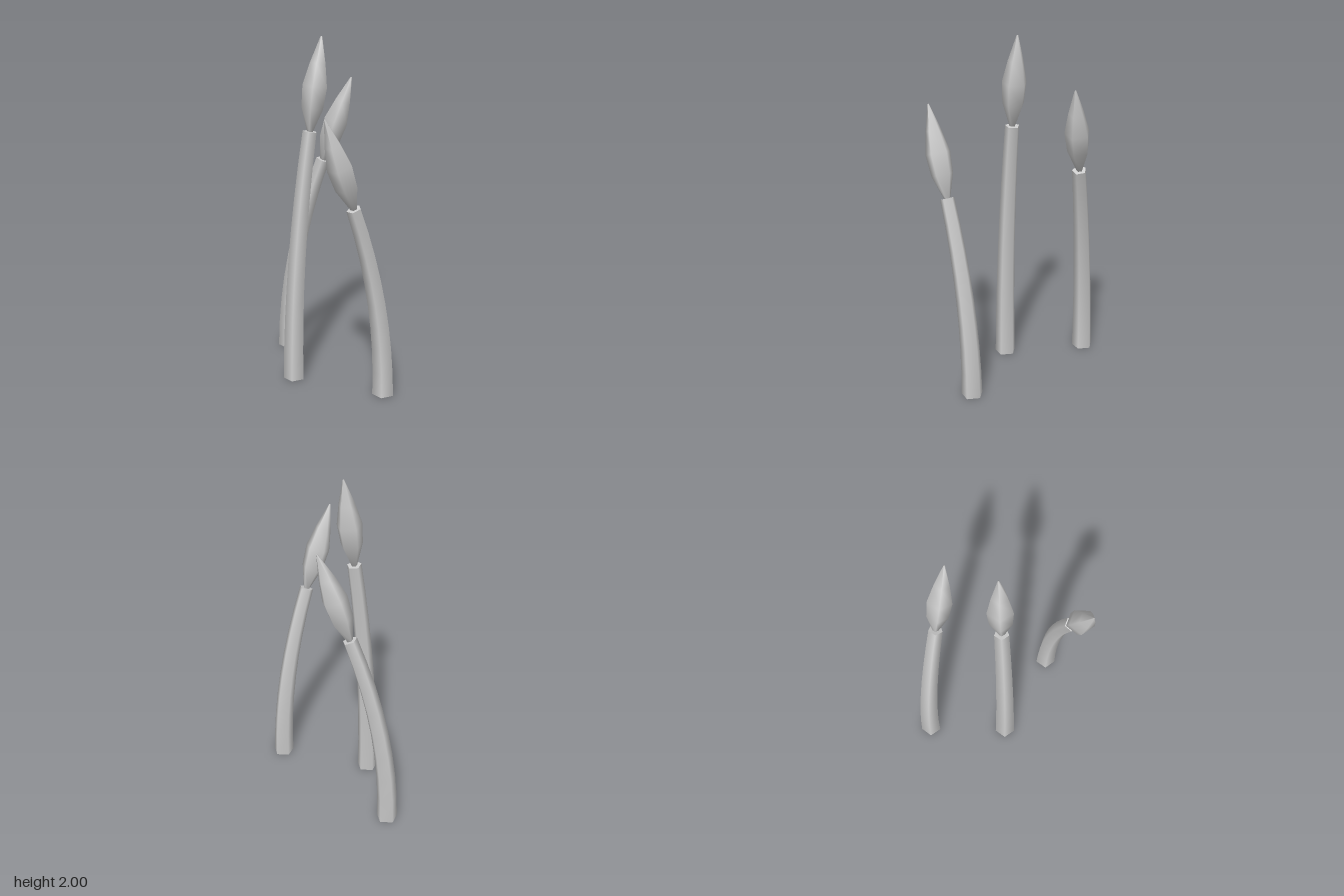
import * as THREE from 'three';

const UP = new THREE.Vector3(0, 1, 0);

// Each stalk: centre of the foot, centre of the top, tip of the bud
const STALKS = [
  { foot: [-0.06, 0, 0.185], top: [-0.024, 1.475, 0.085], tip: [0, 2, 0.02] },
  { foot: [-0.45, 0, -0.105], top: [-0.253, 1.228, -0.222], tip: [-0.105, 1.73, -0.31] },
  { foot: [0.445, 0, -0.05], top: [0.41, 1.132, 0.162], tip: [0.375, 1.63, 0.34] },
];

// Bud profile: radius, fraction of the length
const BUD = [[0, 0], [0.018, 0], [0.064, 0.25], [0.073, 0.48], [0.046, 0.72], [0.005, 0.995], [0, 1]];

// Five-sided tapered stem that starts upright and leans more towards the top
function stemGeometry(foot, top) {
  const g = new THREE.CylinderGeometry(0.042, 0.063, 1, 5, 8, false, Math.PI);
  const pos = g.attributes.position, nor = g.attributes.normal;
  const lean = top.clone().sub(foot);
  const q = new THREE.Quaternion(), v = new THREE.Vector3(), n = new THREE.Vector3();
  for (let i = 0; i < pos.count; i++) {
    const t = pos.getY(i) + 0.5;
    const tangent = new THREE.Vector3(2 * t * lean.x, lean.y, 2 * t * lean.z).normalize();
    q.setFromUnitVectors(UP, tangent);
    v.set(pos.getX(i), 0, pos.getZ(i)).applyQuaternion(q);
    v.add(new THREE.Vector3(foot.x + lean.x * t * t, foot.y + lean.y * t, foot.z + lean.z * t * t));
    pos.setXYZ(i, v.x, v.y, v.z);
    n.fromBufferAttribute(nor, i).applyQuaternion(q);
    nor.setXYZ(i, n.x, n.y, n.z);
  }
  return g;
}

export function createModel() {
  const model = new THREE.Group();
  model.name = 'budStalks';
  const grey = new THREE.MeshStandardMaterial({ color: 0xcccccc });
  grey.name = 'light grey';

  STALKS.forEach((s) => {
    const [foot, top, tip] = [s.foot, s.top, s.tip].map((p) => new THREE.Vector3(...p));
    const stalk = new THREE.Group();
    stalk.name = 'stalk';

    const stem = new THREE.Mesh(stemGeometry(foot, top), grey);
    stem.name = 'stem';

    // Pointed bud continuing the direction of the stem
    const axis = tip.clone().sub(top);
    const length = axis.length();
    const profile = BUD.map(([r, f]) => new THREE.Vector2(r, f * length));
    const bud = new THREE.Mesh(new THREE.LatheGeometry(profile, 5, Math.PI), grey);
    bud.name = 'bud';
    bud.position.copy(top);
    bud.quaternion.setFromUnitVectors(UP, axis.normalize());

    stalk.add(stem, bud);
    model.add(stalk);
  });
  return model;
}
